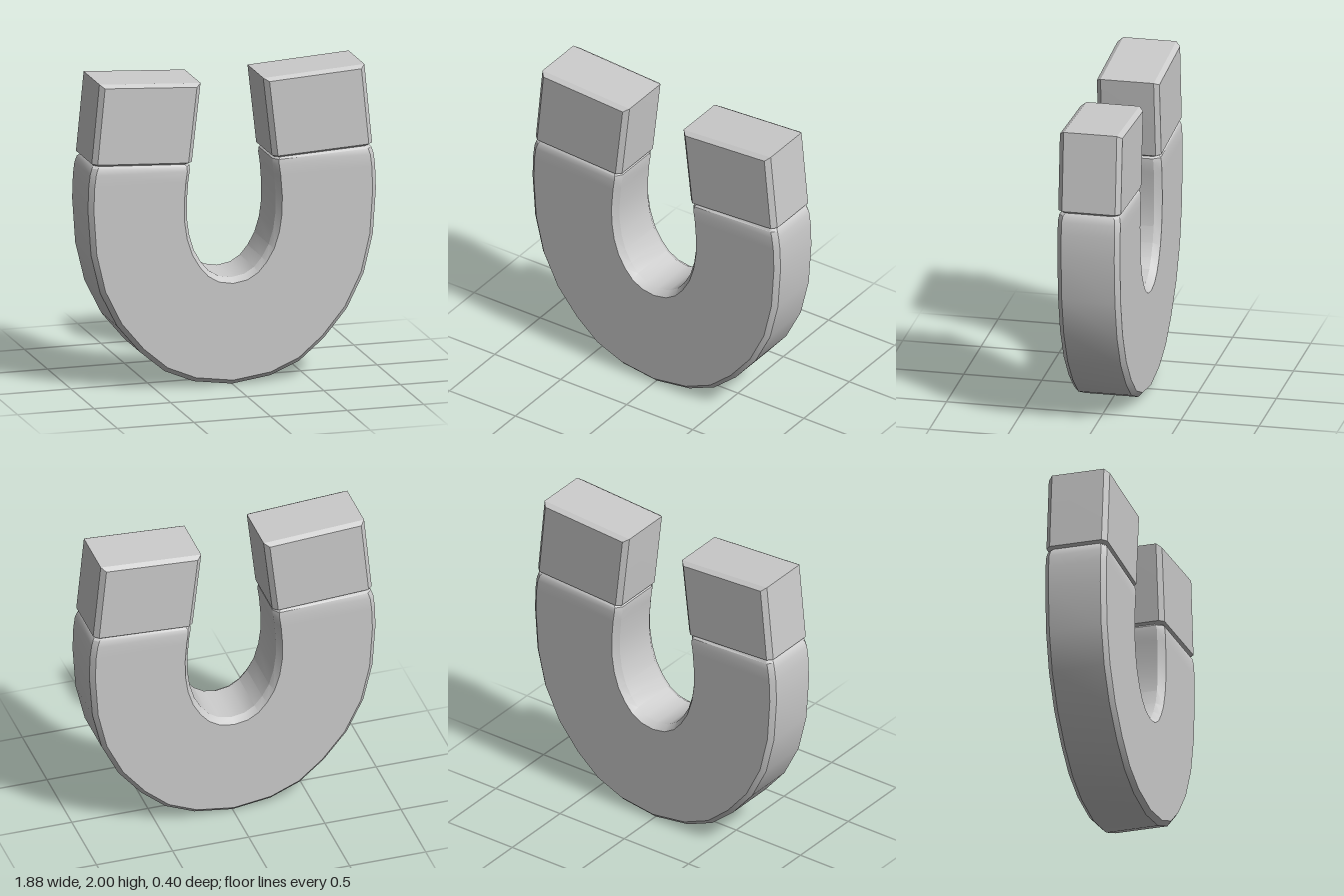
import * as THREE from 'three';
import { toCreasedNormals } from 'three/addons/utils/BufferGeometryUtils.js';

const HALF_DEPTH = 0.2;

// One cross-section: a chamfered rectangle between an outer and an inner point.
// inset shrinks it all round, bevel is the in-plane chamfer, zo / zi the chamfer depths.
function section({ o, i, inset = 0, bevel = 0.03, zo = 0.03, zi = 0.03, half = HALF_DEPTH }) {
  const outer = new THREE.Vector2(...o);
  const inner = new THREE.Vector2(...i);
  const dir = inner.clone().sub(outer).normalize();
  const at = (p, d, z) => [p.x + dir.x * d, p.y + dir.y * d, z];
  const h = half - inset;
  const front = [
    at(outer, inset, h - zo), at(outer, inset + bevel, h),
    at(inner, -inset - bevel, h), at(inner, -inset, h - zi),
  ];
  return [...front, ...front.map(([x, y, z]) => [x, y, -z]).reverse()];
}

// Skin the cross-sections and cap both ends
function sweep(stations, material, name) {
  const rings = stations.map(section);
  const n = rings[0].length;
  const positions = rings.flat(2);
  const index = [];
  for (let k = 0; k < rings.length - 1; k++) {
    for (let j = 0; j < n; j++) {
      const a = k * n + j, b = k * n + (j + 1) % n;
      index.push(a, a + n, b + n, a, b + n, b);
    }
  }
  const last = (rings.length - 1) * n;
  for (let j = 1; j < n - 1; j++) {
    index.push(0, j, j + 1, last, last + j + 1, last + j);
  }
  const geometry = new THREE.BufferGeometry();
  geometry.setAttribute('position', new THREE.Float32BufferAttribute(positions, 3));
  geometry.setIndex(index);
  const mesh = new THREE.Mesh(toCreasedNormals(geometry, 0.55), material);
  mesh.name = name;
  return mesh;
}

// The same stations on the other side, running the opposite way
const mirrored = (stations) => stations
  .map((s) => ({ ...s, o: [-s.o[0], s.o[1]], i: [-s.i[0], s.i[1]] }))
  .reverse();

export function createModel() {
  const group = new THREE.Group();
  group.name = 'horseshoeMagnet';
  const material = new THREE.MeshStandardMaterial({ color: 0xcccccc });

  // Bend: right half from the bottom to the seam, as outer and inner points
  const half = [
    { o: [0, 0], i: [0, 0.685] },
    { o: [0.25, 0.035], i: [0.085, 0.7] },
    { o: [0.44, 0.115], i: [0.15, 0.74] },
    { o: [0.6, 0.25], i: [0.2, 0.8] },
    { o: [0.75, 0.43], i: [0.245, 0.88] },
    { o: [0.86, 0.65], i: [0.275, 0.98] },
    { o: [0.92, 0.9], i: [0.29, 1.09] },
    { o: [0.94, 1.19], i: [0.29, 1.2] },
    { o: [0.935, 1.34], i: [0.28, 1.33] },
    { o: [0.925, 1.42], i: [0.27, 1.4] },
    { o: [0.918, 1.46], i: [0.265, 1.43], inset: 0.006 },
    { o: [0.916, 1.477], i: [0.263, 1.443], inset: 0.02 },
  ].map((s) => ({ ...s, zo: 0.03, zi: 0.045 }));
  group.add(sweep([...mirrored(half).slice(0, -1), ...half], material, 'bend'));

  // Pole tips: narrow at the seam, chamfered front and back at the end
  const tip = [
    { o: [0.916, 1.475], i: [0.263, 1.441], inset: 0.02 },
    { o: [0.915, 1.49], i: [0.262, 1.455] },
    { o: [0.867, 1.98], i: [0.207, 1.94] },
    { o: [0.865, 2], i: [0.205, 1.96], bevel: 0, zo: 0, zi: 0, half: 0.17 },
  ];
  group.add(sweep(tip, material, 'leftPoleTip'));
  group.add(sweep(mirrored(tip), material, 'rightPoleTip'));

  return group;
}
